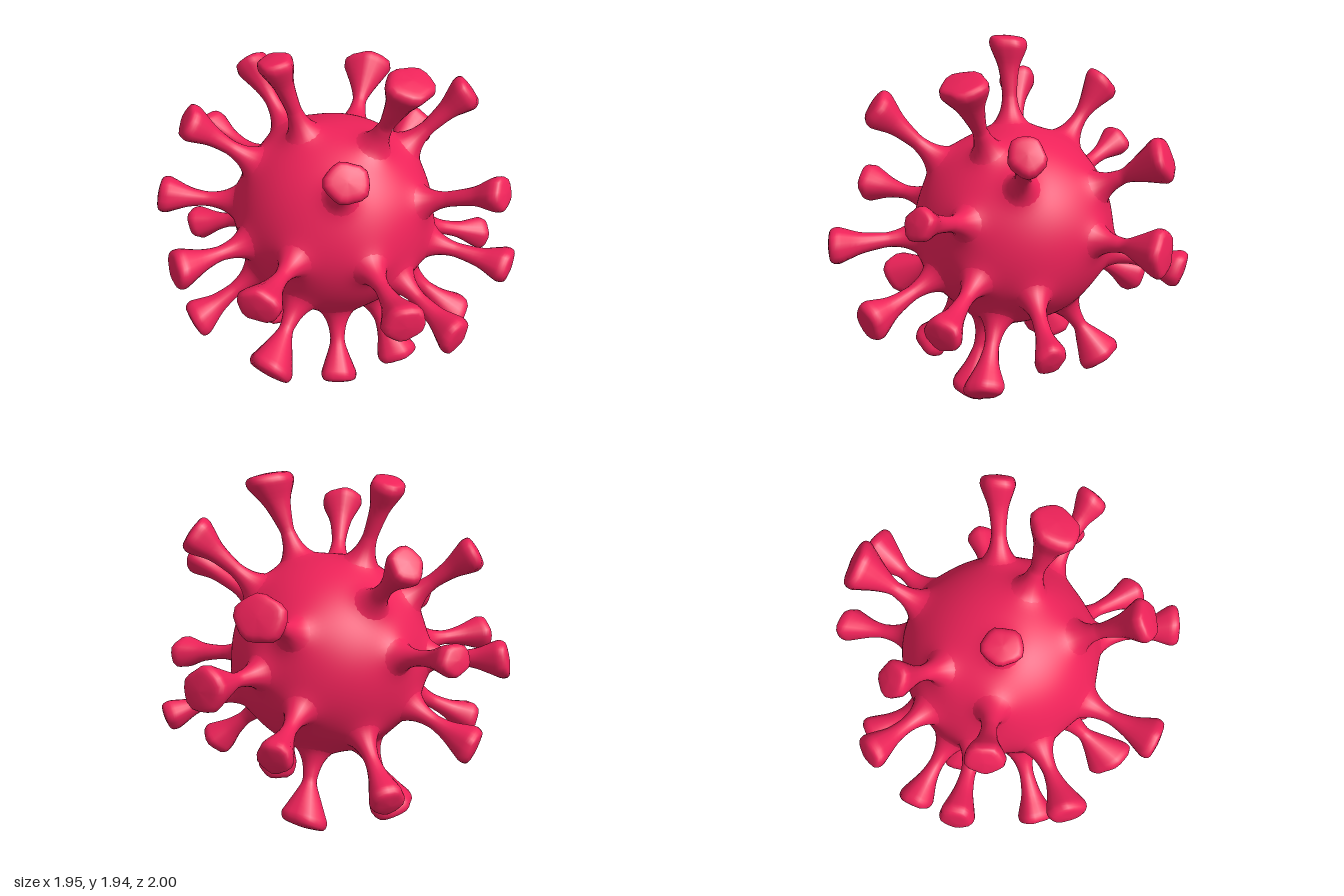
import * as THREE from 'three';
import { mergeVertices } from 'three/addons/utils/BufferGeometryUtils.js';

const CENTRE = new THREE.Vector3(0, 0.93, 0);

// Head centre of every spike [x, y, z, head scale]
const SPIKES = [
  // upper
  [-0.20, 1.88, 0.23, 1.0], [0.43, 1.84, -0.06, 1.3], [0.49, 1.60, 0.54, 1.1],
  [-0.64, 1.61, -0.08, 1.0], [-0.57, 1.53, 0.50, 1.0], [0.48, 1.61, -0.53, 1.0],
  [-0.33, 1.42, -0.75, 1.3],
  // around the middle
  [0.90, 1.30, -0.22, 0.9], [-0.91, 1.17, 0, 0.9], [-0.10, 1.02, -0.93, 1.25],
  [0.25, 0.99, 0.93, 1.1], [-0.34, 0.91, 0.89, 1.05], [0.84, 0.91, 0.53, 1.08],
  [-0.80, 0.99, 0.52, 1.0], [0.92, 0.62, 0.17, 1.05], [0.90, 0.75, -0.36, 1.0],
  [-0.47, 0.74, -0.79, 1.0], [0.52, 0.59, -0.73, 0.85], [-0.86, 0.60, 0.22, 1.0],
  // lower
  [-0.40, 0.43, 0.73, 1.0], [0.16, 0.40, 0.77, 1.3], [-0.75, 0.42, -0.28, 1.0],
  [0.61, 0.28, -0.35, 1.05], [-0.41, 0.09, 0.10, 1.3], [-0.26, 0.14, -0.43, 1.25],
  [0.32, 0.15, 0.38, 1.0], [0.42, 0.07, -0.05, 1.1],
].map(([x, y, z, size]) => {
  const offset = new THREE.Vector3(x, y, z).sub(CENTRE);
  return { dir: offset.clone().normalize(), length: offset.length() + 0.04, size };
});

// Weld the geometry and give it smooth normals
function smooth(geometry) {
  geometry.deleteAttribute('uv');
  geometry.deleteAttribute('normal');
  const welded = mergeVertices(geometry, 1e-5);
  welded.computeVertexNormals();
  return welded;
}

// Sphere pulled out gently under each spike
function bodyGeometry() {
  const geometry = new THREE.IcosahedronGeometry(1, 24);
  const p = geometry.attributes.position;
  const v = new THREE.Vector3();
  for (let i = 0; i < p.count; i++) {
    v.fromBufferAttribute(p, i).normalize();
    let swell = 0;
    for (const { dir } of SPIKES) {
      const angle = v.angleTo(dir);
      swell += 0.018 * Math.exp(-((angle / 0.27) ** 2)) + 0.04 * Math.exp(-((angle / 0.14) ** 2));
    }
    v.multiplyScalar(0.552 + swell);
    p.setXYZ(i, v.x, v.y, v.z);
  }
  return smooth(geometry);
}

// Flared root, thin stalk and blunt, slightly lumpy head, along +y
function spikeGeometry(length, size, seed) {
  const L = length;
  const profile = new THREE.SplineCurve([
    [0.14, 0.53], [0.10, 0.565], [0.075, 0.597], [0.055, 0.64], [0.044, 0.69], [0.042, 0.74],
    [0.056 * size, L - 0.17], [0.086 * size, L - 0.085], [0.099 * size, L - 0.04],
    [0.087 * size, L - 0.003], [0.045 * size, L + 0.008], [0, L + 0.012],
  ].map(([r, y]) => new THREE.Vector2(r, y))).getPoints(33);
  profile.forEach((q) => { q.x = Math.max(q.x, 0); });
  const geometry = new THREE.LatheGeometry(profile, 18);
  const p = geometry.attributes.position;
  for (let i = 0; i < p.count; i++) {
    const x = p.getX(i), y = p.getY(i), z = p.getZ(i);
    const a = Math.atan2(x, z);
    const head = THREE.MathUtils.smoothstep(y, 0.72, L);
    const k = 1 + head * (0.07 * Math.sin(2 * a + seed * 1.7) + 0.05 * Math.sin(5 * a + seed * 2.9));
    // tilt the end face a little
    const tilt = head * 0.15 * (x * Math.sin(seed * 2.3) + z * Math.cos(seed * 2.3));
    p.setXYZ(i, x * k, y + tilt, z * k);
  }
  return smooth(geometry);
}

export function createModel() {
  const model = new THREE.Group();
  model.name = 'spikedSphere';
  const material = new THREE.MeshStandardMaterial({ color: 0xee2259 });

  const body = new THREE.Mesh(bodyGeometry(), material);
  body.name = 'body';
  body.position.copy(CENTRE);
  model.add(body);

  const spikes = new THREE.Group();
  spikes.name = 'spikes';
  spikes.position.copy(CENTRE);
  const up = new THREE.Vector3(0, 1, 0);
  SPIKES.forEach(({ dir, length, size }, i) => {
    const spike = new THREE.Mesh(spikeGeometry(length, size, i), material);
    spike.name = `spike${i + 1}`;
    spike.quaternion.setFromUnitVectors(up, dir);
    spikes.add(spike);
  });
  model.add(spikes);
  return model;
}
